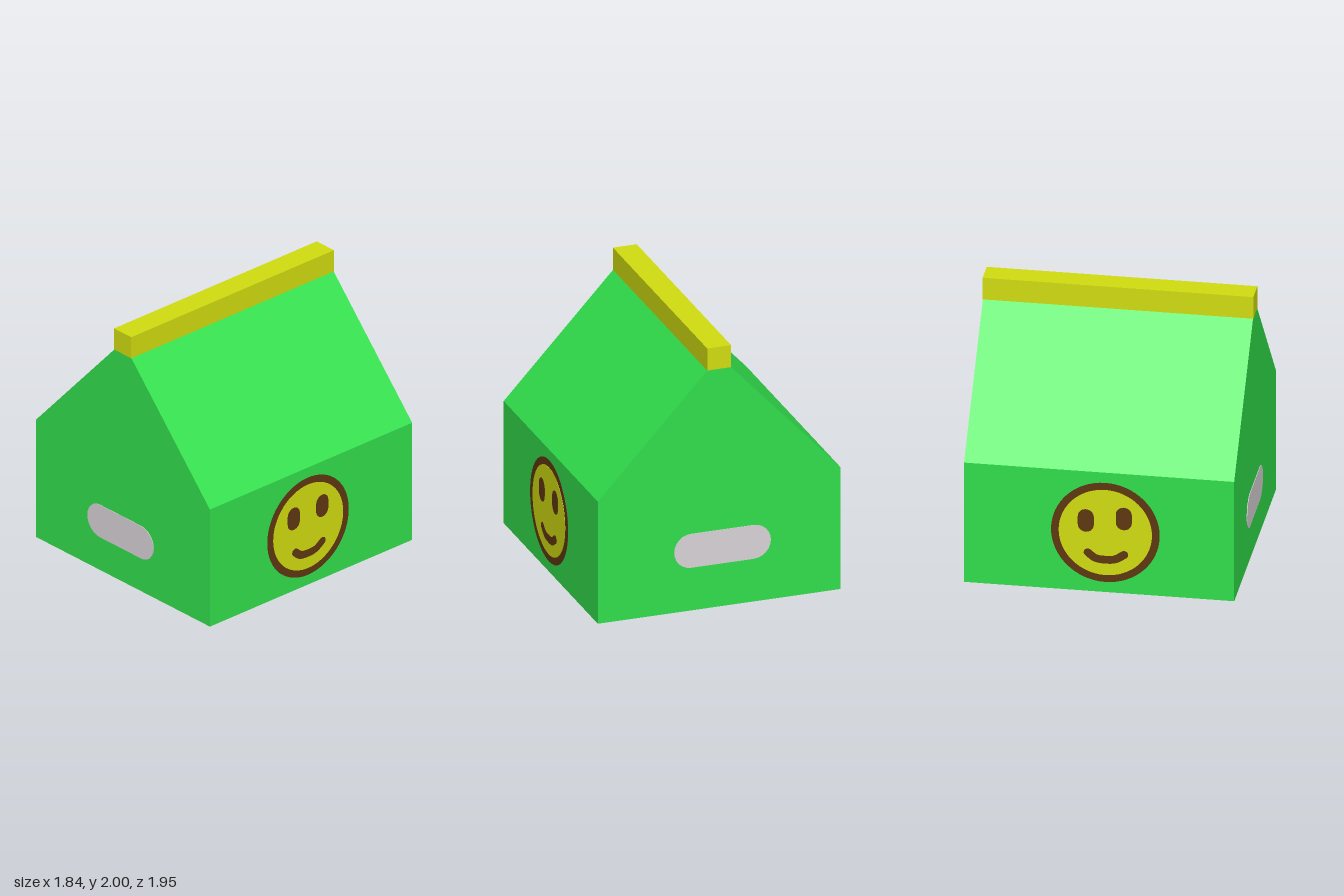
import * as THREE from 'three';

const mat = (name, color) => Object.assign(new THREE.MeshStandardMaterial({ color }), { name });

const HALF_W = 0.915, HALF_D = 0.97, EAVE = 0.94, RIDGE_Y = 1.83, RIDGE_W = 0.09;

// Flat band with round ends that follows a line of points
function band(points, width) {
  const curve = new THREE.SplineCurve(points.map(([x, y]) => new THREE.Vector2(x, y)));
  const n = points.length > 2 ? 24 : 1, r = width / 2, left = [], right = [];
  for (let i = 0; i <= n; i++) {
    const p = curve.getPoint(i / n), t = curve.getTangent(i / n);
    const side = new THREE.Vector2(-t.y, t.x).multiplyScalar(r);
    left.push(p.clone().add(side));
    right.push(p.clone().sub(side));
  }
  const cap = (u) => {
    const p = curve.getPoint(u), t = curve.getTangent(u);
    const a0 = Math.atan2(t.y, t.x) + (u === 1 ? -Math.PI / 2 : Math.PI / 2);
    return Array.from({ length: 11 }, (_, k) => {
      const a = a0 + (Math.PI * (k + 1)) / 12;
      return new THREE.Vector2(p.x + r * Math.cos(a), p.y + r * Math.sin(a));
    });
  };
  return new THREE.Shape([...right, ...cap(1), ...left.reverse(), ...cap(0)]);
}

const disc = (r) => new THREE.Shape().absarc(0, 0, r, 0, Math.PI * 2, false);

// Thin painted plate lying on a wall
function plate(name, shape, depth, material) {
  const geometry = new THREE.ExtrudeGeometry(shape, { depth, bevelEnabled: false, curveSegments: 32 });
  const mesh = new THREE.Mesh(geometry, material);
  mesh.name = name;
  return mesh;
}

export function createModel() {
  const green = mat('green', 0x32e04c);
  const yellow = mat('yellow', 0xd2dd10);
  const brown = mat('brown', 0x5f3810);
  const grey = mat('pale grey', 0xd9d4d7);
  const model = new THREE.Group();
  model.name = 'gabledBox';

  // Body: gabled profile drawn out from back to front
  const profile = new THREE.Shape([
    [-HALF_W, 0], [HALF_W, 0], [HALF_W, EAVE], [RIDGE_W, RIDGE_Y], [-RIDGE_W, RIDGE_Y], [-HALF_W, EAVE],
  ].map(([x, y]) => new THREE.Vector2(x, y)));
  const body = new THREE.Mesh(
    new THREE.ExtrudeGeometry(profile, { depth: HALF_D * 2, bevelEnabled: false }), green);
  body.name = 'body';
  body.position.z = -HALF_D;
  model.add(body);

  // Ridge bar along the top
  const ridge = new THREE.Mesh(new THREE.BoxGeometry(RIDGE_W * 2, 2 - RIDGE_Y, HALF_D * 2 + 0.004), yellow);
  ridge.name = 'ridgeBar';
  ridge.position.y = (2 + RIDGE_Y) / 2;
  model.add(ridge);

  // Rounded slots on the front and back
  const slots = [
    { name: 'frontSlot', x: -0.022, y: 0.395, length: 0.695, turn: 0, z: HALF_D },
    { name: 'backSlot', x: -0.025, y: 0.46, length: 0.73, turn: Math.PI, z: -HALF_D },
  ];
  for (const s of slots) {
    const h = 0.26, e = (s.length - h) / 2;
    const slot = plate(s.name, band([[-e, 0], [e, 0]], h), 0.004, grey);
    slot.position.set(s.x, s.y, s.z);
    slot.rotation.y = s.turn;
    model.add(slot);
  }

  // Smiling discs on both side walls
  const mouth = [[-0.125, -0.165], [-0.07, -0.205], [0, -0.213], [0.07, -0.205], [0.135, -0.165]];
  const faces = [
    { name: 'leftFace', side: 1, z: 0.03, leftEyeY: 0.11 },
    { name: 'rightFace', side: -1, z: 0.045, leftEyeY: 0.085 },
  ];
  for (const f of faces) {
    const face = new THREE.Group();
    face.name = f.name;
    const eye = (x, y) => band([[x, y - 0.031], [x, y + 0.031]], 0.115);
    face.add(
      plate('faceRim', disc(0.39), 0.002, brown),
      plate('faceDisc', disc(0.335), 0.004, yellow),
      plate('eyeA', eye(-0.14, f.leftEyeY), 0.006, brown),
      plate('eyeB', eye(0.133, 0.118), 0.006, brown),
      plate('mouth', band(mouth, 0.06), 0.006, brown),
    );
    face.position.set(f.side * HALF_W, 0.47, f.z);
    face.rotation.y = (f.side * Math.PI) / 2;
    model.add(face);
  }
  return model;
}
